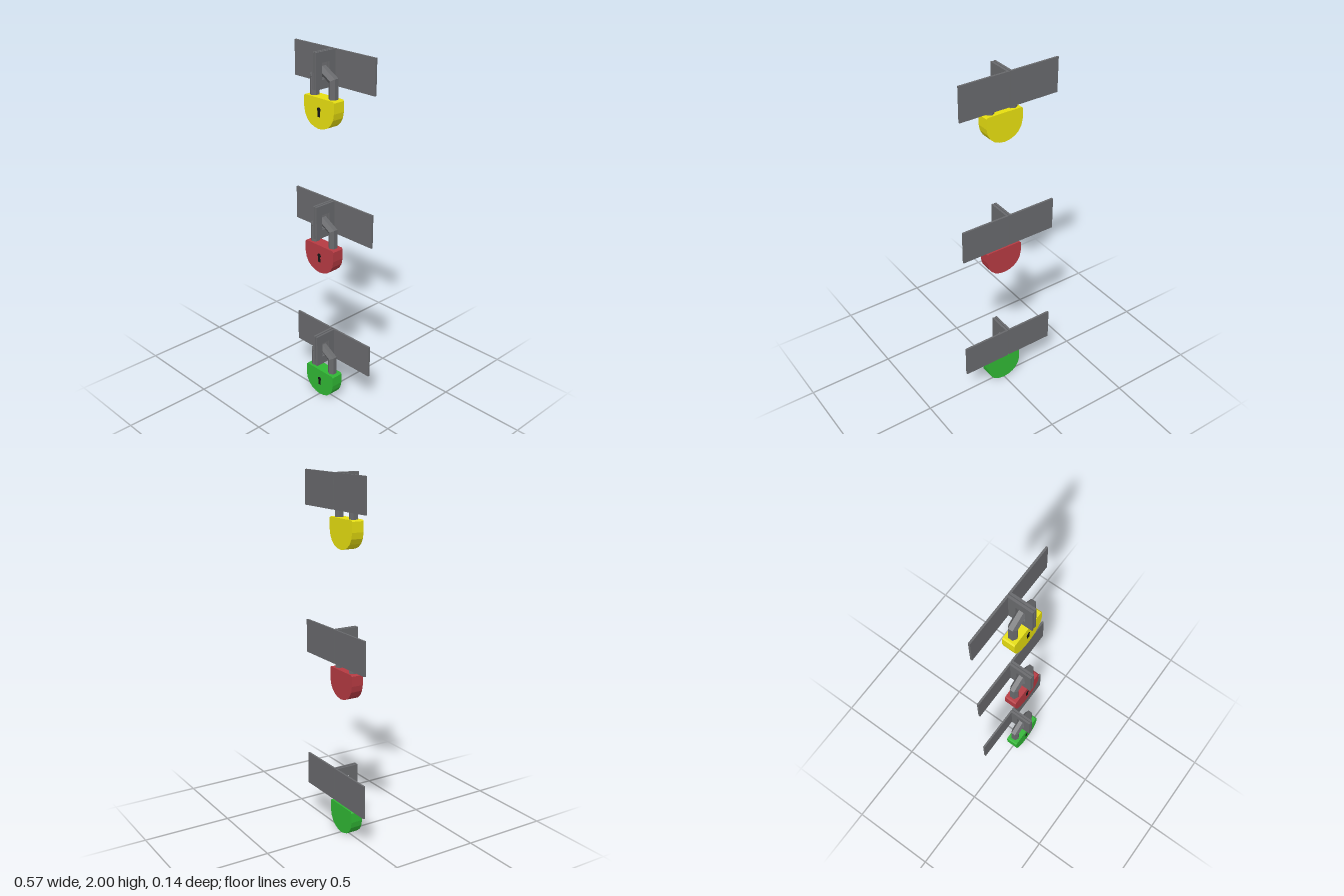
import * as THREE from 'three';

const paint = (color) => new THREE.MeshStandardMaterial({ color, flatShading: true });
const steel = paint(0x68696c);
const dark = paint(0x141414);

function add(group, name, geometry, material) {
  const mesh = new THREE.Mesh(geometry, material);
  mesh.name = name;
  group.add(mesh);
  return mesh;
}

// Hexagonal bar swept along a mitred path in the XY plane
function hexBar(path, radius) {
  const normals = path.slice(1).map((p, i) => {
    const t = p.clone().sub(path[i]).normalize();
    return new THREE.Vector2(-t.y, t.x);
  });
  const rings = path.map((p, i) => {
    const a = normals[Math.max(i - 1, 0)];
    const b = normals[Math.min(i, normals.length - 1)];
    const m = a.clone().add(b).divideScalar(1 + a.dot(b));
    return Array.from({ length: 6 }, (_, k) => {
      const n = -radius * Math.sin(k * Math.PI / 3);
      return [p.x + m.x * n, p.y + m.y * n, radius * Math.cos(k * Math.PI / 3)];
    });
  });
  const pos = [];
  for (let i = 0; i < rings.length - 1; i++) {
    for (let k = 0; k < 6; k++) {
      const j = (k + 1) % 6, r = rings[i], s = rings[i + 1];
      for (const v of [r[k], r[j], s[j], r[k], s[j], s[k]]) pos.push(...v);
    }
  }
  const geometry = new THREE.BufferGeometry();
  geometry.setAttribute('position', new THREE.Float32BufferAttribute(pos, 3));
  geometry.computeVertexNormals();
  return geometry;
}

// Flange outline in (z, y) with a window for the shackle
function flangeGeometry(thickness) {
  const rect = (Type, x0, y0, x1, y1) => new Type([[x0, y0], [x1, y0], [x1, y1], [x0, y1]]
    .map(([x, y]) => new THREE.Vector2(x, y)));
  const shape = rect(THREE.Shape, -0.062, -0.187, 0.071, 0);
  shape.holes.push(rect(THREE.Path, -0.021, -0.14, 0.031, -0.055));
  return new THREE.ExtrudeGeometry(shape, { depth: thickness, bevelEnabled: false })
    .rotateY(-Math.PI / 2).translate(thickness / 2, 0, 0);
}

// D-shaped lock body: half outline mirrored about the centre
function bodyGeometry() {
  const half = [[0.101, -0.233], [0.108, -0.24], [0.108, -0.296], [0.101, -0.33],
    [0.085, -0.358], [0.062, -0.378], [0.033, -0.39], [0, -0.395]];
  const left = half.slice(0, -1).reverse().map(([x, y]) => [-x, y]);
  const shape = new THREE.Shape([...half, ...left].map(([x, y]) => new THREE.Vector2(x, y)));
  return new THREE.ExtrudeGeometry(shape, { depth: 0.07, bevelEnabled: false })
    .translate(0, 0, -0.03);
}

// Round hole merging into a slot
function keyholeGeometry() {
  const shape = new THREE.Shape();
  shape.moveTo(0.008, -0.332);
  shape.lineTo(0.008, -0.302);
  shape.absarc(0, -0.294, 0.0125, -0.7, Math.PI + 0.7, false);
  shape.lineTo(-0.008, -0.332);
  return new THREE.ExtrudeGeometry(shape, { depth: 0.001, bevelEnabled: false, curveSegments: 6 })
    .translate(0, 0, 0.04);
}

function padlock(color) {
  const group = new THREE.Group();

  // Pair of angle brackets
  for (const [side, label] of [[1, 'left'], [-1, 'right']]) {
    const plate = add(group, label + 'Plate', new THREE.BoxGeometry(0.284, 0.187, 0.011), steel);
    plate.position.set(side * 0.1445, -0.0935, -0.0665);
    const flange = add(group, label + 'Flange', flangeGeometry(0.012), steel);
    flange.position.x = side * 0.0085;
  }

  // Shackle passing through both flanges
  const path = [[-0.068, -0.24], [-0.068, -0.139], [0, -0.1], [0.068, -0.139], [0.068, -0.24]]
    .map(([x, y]) => new THREE.Vector2(x, y));
  add(group, 'shackle', hexBar(path, 0.025), steel).position.z = 0.004;

  // Lock body
  add(group, 'lockBody', bodyGeometry(), paint(color));
  add(group, 'keyhole', keyholeGeometry(), dark);
  return group;
}

export function createModel() {
  const model = new THREE.Group();
  model.name = 'padlockSet';
  for (const [name, color, top] of [
    ['yellowPadlock', 0xe6de10, 2.0],
    ['redPadlock', 0xb53a42, 1.186],
    ['greenPadlock', 0x30b634, 0.395],
  ]) {
    const lock = padlock(color);
    lock.name = name;
    lock.position.y = top;
    model.add(lock);
  }
  return model;
}
